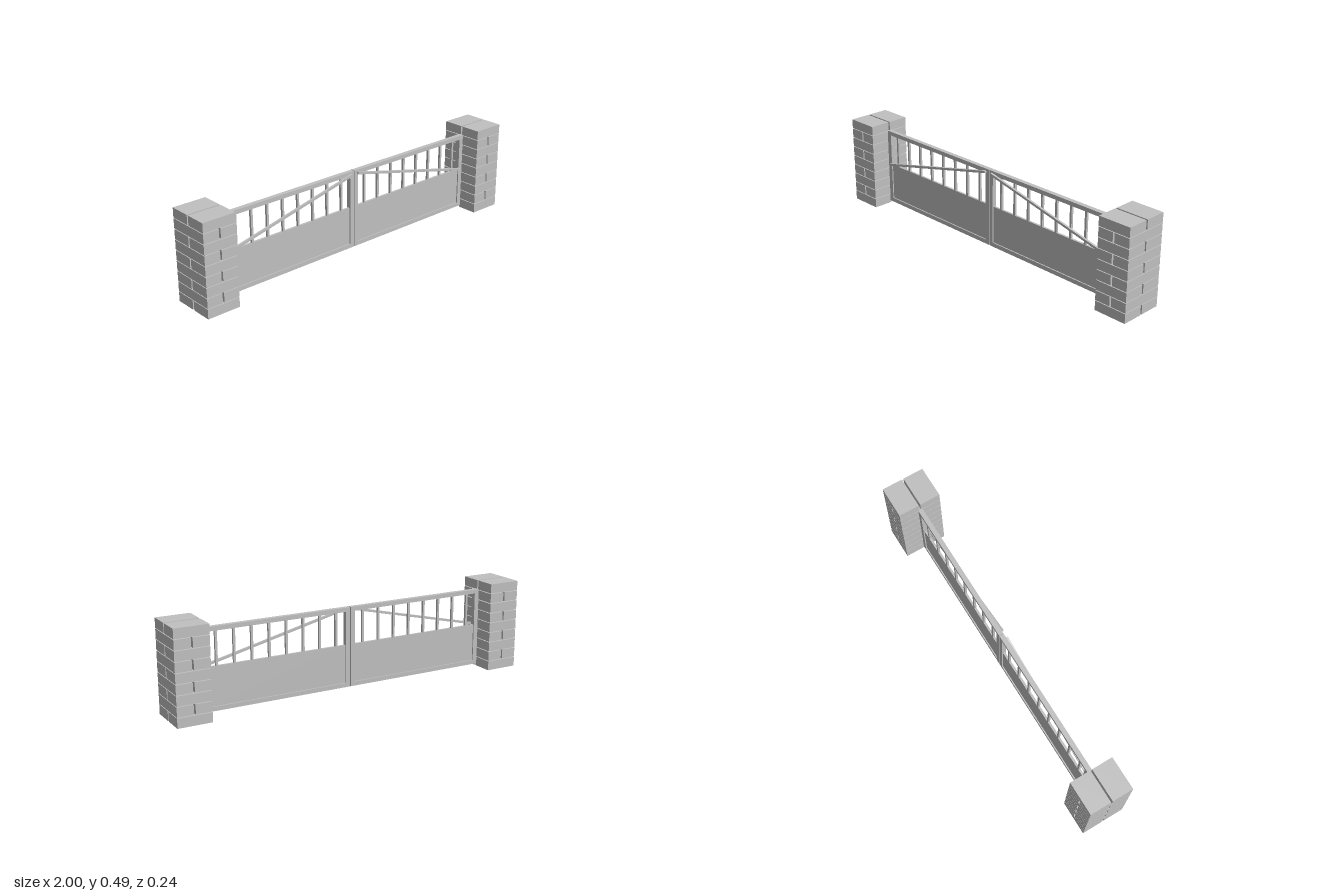
import * as THREE from 'three';

export function createModel() {
  const model = new THREE.Group();
  model.name = 'gateWithPillars';
  const grey = new THREE.MeshStandardMaterial({ color: 0xc0c0c0 });
  grey.name = 'light grey';

  // Box given by its minimum and maximum corners
  function box(parent, name, [x0, y0, z0], [x1, y1, z1]) {
    const mesh = new THREE.Mesh(new THREE.BoxGeometry(x1 - x0, y1 - y0, z1 - z0), grey);
    mesh.position.set((x0 + x1) / 2, (y0 + y1) / 2, (z0 + z1) / 2);
    mesh.name = name;
    parent.add(mesh);
    return mesh;
  }

  // Brick pillar: nine courses of two bricks, turned a quarter on each course
  function pillar(side) {
    const group = new THREE.Group();
    group.name = side > 0 ? 'leftPillar' : 'rightPillar';
    const hx = 0.09, hz = 0.119, gap = 0.0045, pitch = 0.0545, height = 0.0505;
    for (let i = 0; i < 9; i++) {
      const y0 = i * pitch, y1 = y0 + height;
      if (i % 2 === 0) {
        box(group, 'brick', [-hx, y0, gap], [hx, y1, hz]);
        box(group, 'brick', [-hx, y0, -hz], [hx, y1, -gap]);
      } else {
        box(group, 'brick', [-hx, y0, -hz], [-gap, y1, hz]);
        box(group, 'brick', [gap, y0, -hz], [hx, y1, hz]);
      }
    }
    group.position.x = side * 0.91;
    return group;
  }

  // Gate leaf, built on the given side of the centre line
  function leaf(side) {
    const group = new THREE.Group();
    group.name = side > 0 ? 'leftLeaf' : 'rightLeaf';
    const d = 0.0125, inner = 0.027, outer = 0.792;
    const part = (name, a, b, y0, y1, z) => box(group, name,
      [Math.min(a * side, b * side), y0, -z], [Math.max(a * side, b * side), y1, z]);

    // Frame
    part('innerPost', 0.002, inner, 0.013, 0.44, d);
    part('outerPost', outer, 0.818, 0.013, 0.44, d);
    part('topRail', inner, outer, 0.418, 0.44, d);
    part('bottomRail', inner, outer, 0.013, 0.036, d);

    // Solid lower panel and upright bars
    part('panel', inner, outer, 0.036, 0.24, 0.006);
    for (let i = 0; i < 8; i++) {
      const x = 0.08 + i * 0.0947;
      part('bar', x - 0.006, x + 0.006, 0.24, 0.418, 0.006);
    }

    // Diagonal brace on the front face
    const from = new THREE.Vector2(0.02 * side, 0.425), to = new THREE.Vector2(0.795 * side, 0.243);
    const brace = box(group, 'brace', [0, 0, 0], [from.distanceTo(to), 0.012, 0.012]);
    brace.position.set((from.x + to.x) / 2, (from.y + to.y) / 2, d + 0.006);
    brace.rotation.z = Math.atan((to.y - from.y) / (to.x - from.x));
    return group;
  }

  for (const side of [-1, 1]) model.add(pillar(side), leaf(side));
  return model;
}
